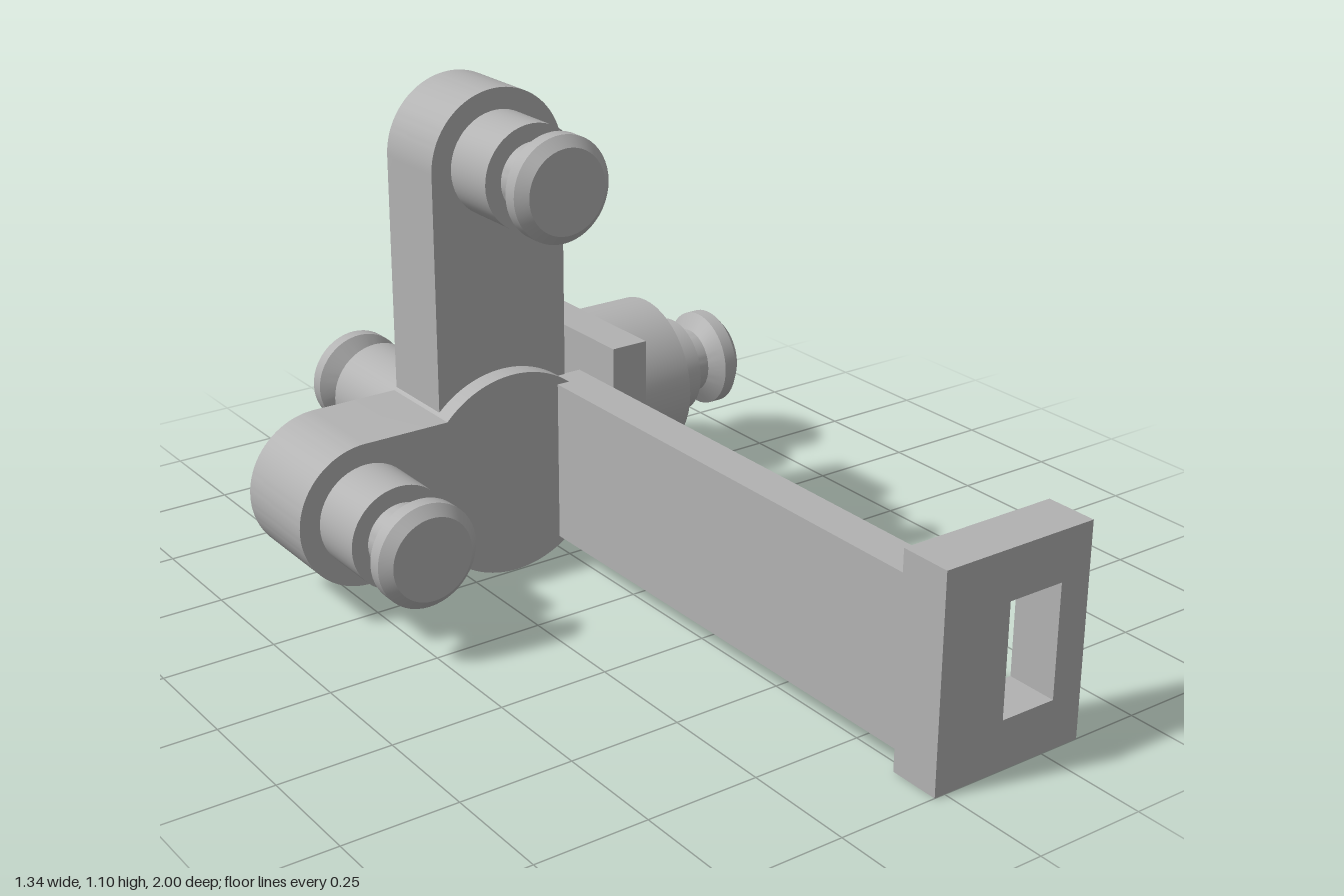
import * as THREE from 'three';
import { toCreasedNormals } from 'three/addons/utils/BufferGeometryUtils.js';

export function createModel() {
  const model = new THREE.Group();
  model.name = 'pegBracket';
  const grey = new THREE.MeshStandardMaterial({ color: 0xb2b2b2 });
  grey.name = 'plain grey';

  function add(name, geometry, x = 0, y = 0, z = 0) {
    const mesh = new THREE.Mesh(geometry, grey);
    mesh.name = name;
    mesh.position.set(x, y, z);
    model.add(mesh);
    return mesh;
  }

  // Box given by its limits on each axis
  function box(name, x0, x1, y0, y1, z0, z1) {
    return add(name, new THREE.BoxGeometry(x1 - x0, y1 - y0, z1 - z0),
      (x0 + x1) / 2, (y0 + y1) / 2, (z0 + z1) / 2);
  }

  // Flat outline given thickness from z0 to z1
  function slab(name, shape, z0, z1) {
    const g = new THREE.ExtrudeGeometry(shape, { depth: z1 - z0, bevelEnabled: false, curveSegments: 32 });
    return add(name, toCreasedNormals(g, 0.5), 0, 0, z0);
  }

  // Round peg along +y: shaft, narrow neck, flared and chamfered head
  function peg(name, shaft, x, y, z, collar = []) {
    const R = 0.116;
    const profile = [
      ...collar, [R, collar.length ? collar[collar.length - 1][1] : 0],
      [R, shaft], [0.078, shaft], [0.078, shaft + 0.052], [R, shaft + 0.077],
      [R, shaft + 0.108], [0.093, shaft + 0.13], [0, shaft + 0.13],
    ].map(([r, h]) => new THREE.Vector2(r, h));
    return add(name, toCreasedNormals(new THREE.LatheGeometry(profile, 48), 0.5), x, y, z);
  }

  const midY = 0.235, hubX = -0.14, hubR = 0.235, armR = 0.163;
  const leftX = -0.51, topY = 0.937;

  // Round hub with a rounded side arm and a short neck to the side plate
  const a = Math.asin(armR / hubR);
  const hub = new THREE.Shape();
  hub.absarc(leftX, midY, armR, -Math.PI / 2, Math.PI / 2, true);
  hub.absarc(hubX, midY, hubR, Math.PI - a, a, true);
  hub.lineTo(0.125, 0.35);
  hub.lineTo(0.125, 0.12);
  hub.absarc(hubX, midY, hubR, -a, a - Math.PI, true);
  hub.closePath();
  slab('hubAndSideArm', hub, -0.482, -0.253);

  // Thinner upright arm with a rounded top
  const upright = new THREE.Shape();
  upright.moveTo(hubX - armR, midY);
  upright.lineTo(hubX + armR, midY);
  upright.absarc(hubX, topY, armR, 0, Math.PI, false);
  upright.closePath();
  slab('uprightArm', upright, -0.482, -0.297);

  // Long bar reaching forward to the slotted end plate
  box('longBar', -0.025, 0.065, 0.05, 0.42, -0.3, 0.885);

  const frame = new THREE.Shape();
  frame.moveTo(-0.025, 0);
  frame.lineTo(0.345, 0);
  frame.lineTo(0.345, 0.47);
  frame.lineTo(-0.025, 0.47);
  frame.closePath();
  const slot = new THREE.Path();
  slot.moveTo(0.14, 0.11);
  slot.lineTo(0.14, 0.36);
  slot.lineTo(0.272, 0.36);
  slot.lineTo(0.272, 0.11);
  slot.closePath();
  frame.holes.push(slot);
  slab('slottedEndPlate', frame, 0.885, 1);

  // Side plate
  box('sidePlate', 0.125, 0.215, 0, 0.47, -0.965, -0.253);

  // Pegs: two facing forward, one back, one sideways on a wide collar
  peg('topPeg', 0.135, hubX, topY, -0.297).rotation.x = Math.PI / 2;
  peg('sideArmPeg', 0.138, leftX, midY, -0.253).rotation.x = Math.PI / 2;
  peg('backPeg', 0.388, hubX, midY, -0.482).rotation.x = -Math.PI / 2;
  peg('sidePeg', 0.325, 0.215, midY, -0.59, [[0.187, 0], [0.187, 0.24]]).rotation.z = -Math.PI / 2;

  return model;
}
